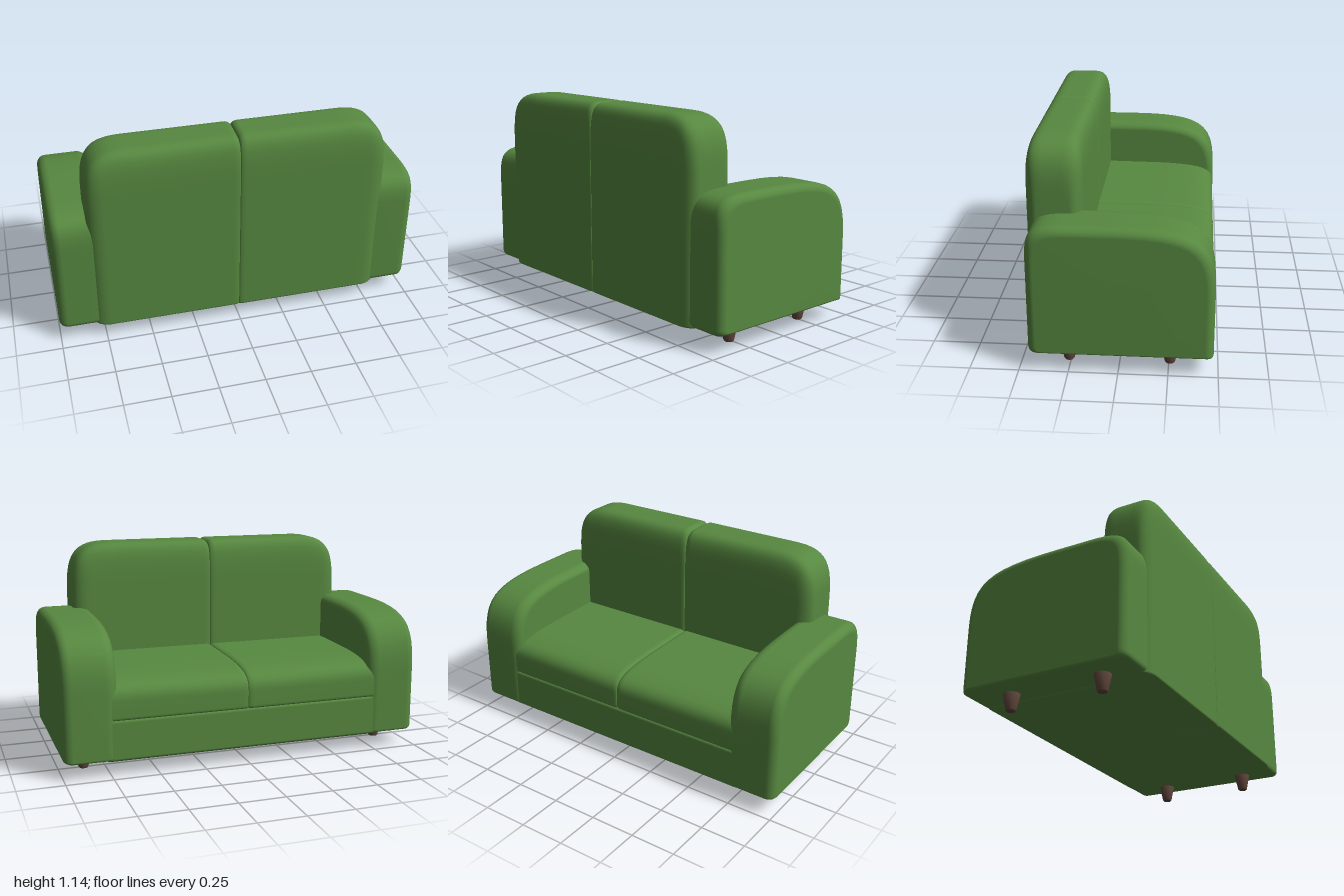
import * as THREE from 'three';
import { RoundedBoxGeometry } from 'three/addons/geometries/RoundedBoxGeometry.js';

const fabric = new THREE.MeshStandardMaterial({ color: 0x578840 });
const wood = new THREE.MeshStandardMaterial({ color: 0x5d443a });

// Side outline in (z, y), counter-clockwise; each step is a line (2), quadratic (4) or cubic (6)
function outline(start, ...steps) {
  const s = new THREE.Shape();
  s.moveTo(...start);
  for (const p of steps) {
    if (p.length === 2) s.lineTo(...p);
    else if (p.length === 4) s.quadraticCurveTo(...p);
    else s.bezierCurveTo(...p);
  }
  const pts = s.getPoints(12);
  if (pts[0].distanceTo(pts[pts.length - 1]) < 1e-5) pts.pop();
  return pts;
}

// Rounding depth at a distance d from an end, for a corner of width w and depth h
function round(d, w, h, n = 2) {
  const t = Math.min(1, Math.max(0, 1 - d / w));
  return h * (1 - Math.pow(1 - Math.pow(t, n), 1 / n));
}

// Sweeps the outline along x; inset(x) gives [z inset, bottom inset, top inset]
function loft(pts, xs, inset, sign) {
  const zs = pts.map(p => p.x), ys = pts.map(p => p.y);
  const z0 = Math.min(...zs), z1 = Math.max(...zs), y0 = Math.min(...ys), y1 = Math.max(...ys);
  const pos = [], idx = [], n = pts.length;
  const tri = (a, b, c) => (sign > 0 ? idx.push(a, b, c) : idx.push(a, c, b));
  for (const x of xs) {
    const [iz, ib, it] = inset(x);
    for (const p of pts) {
      const fz = (p.x - z0) / (z1 - z0), fy = (p.y - y0) / (y1 - y0);
      pos.push(sign * x, y0 + ib + fy * (y1 - y0 - ib - it), z0 + iz + fz * (z1 - z0 - 2 * iz));
    }
  }
  const last = (xs.length - 1) * n, c0 = xs.length * n, c1 = c0 + 1;
  for (const x of [xs[0], xs[xs.length - 1]]) {
    const [, ib, it] = inset(x);
    pos.push(sign * x, (y0 + ib + y1 - it) / 2, (z0 + z1) / 2);
  }
  for (let j = 0; j < n; j++) {
    const k = (j + 1) % n;
    for (let i = 0; i < last; i += n) {
      tri(i + j, i + n + j, i + k);
      tri(i + k, i + n + j, i + n + k);
    }
    tri(c0, j, k);
    tri(c1, last + k, last + j);
  }
  const g = new THREE.BufferGeometry();
  g.setAttribute('position', new THREE.Float32BufferAttribute(pos, 3));
  g.setIndex(idx);
  g.computeVertexNormals();
  return g;
}

// Stations from a to b, packed towards both ends over widths wa and wb
function stations(a, b, wa, wb, n = 10) {
  const xs = [];
  for (let i = 0; i <= n; i++) xs.push(a + wa * (1 - Math.cos(i / n * Math.PI / 2)));
  for (let i = n; i >= 0; i--) xs.push(b - wb * (1 - Math.cos(i / n * Math.PI / 2)));
  return xs;
}

export function createModel() {
  const sofa = new THREE.Group();
  sofa.name = 'sofa';
  const add = (name, geometry, material = fabric) => {
    const m = new THREE.Mesh(geometry, material);
    m.name = name;
    sofa.add(m);
    return m;
  };

  const armSide = outline([-0.46, 0.09], [0.42, 0.09], [0.455, 0.09, 0.455, 0.125], [0.455, 0.6],
    [0.455, 0.74, 0.43, 0.775, 0.28, 0.78], [0.05, 0.78],
    [-0.38, 0.78, -0.475, 0.72, -0.475, 0.45], [-0.475, 0.105], [-0.475, 0.09, -0.46, 0.09]);
  const backSide = outline([0.205, 0.085], [0.46, 0.085], [0.475, 0.085, 0.475, 0.1], [0.475, 0.92],
    [0.475, 1.1, 0.46, 1.14, 0.39, 1.14], [0.28, 1.14],
    [0.205, 1.14, 0.19, 1.1, 0.19, 0.92], [0.19, 0.1], [0.19, 0.085, 0.205, 0.085]);
  const seatSide = outline([-0.455, 0.3], [0.3, 0.3], [0.34, 0.3, 0.34, 0.34], [0.34, 0.48],
    [0.34, 0.525, 0.3, 0.525], [-0.15, 0.52],
    [-0.4, 0.51, -0.47, 0.49, -0.47, 0.4], [-0.47, 0.32], [-0.47, 0.3, -0.455, 0.3]);

  for (const [side, s] of [['left', 1], ['right', -1]]) {
    // Armrest, softly rounded on both faces
    add(side + 'Armrest', loft(armSide, stations(0.715, 1, 0.06, 0.05), x => {
      const r = round(x - 0.715, 0.06, 0.045) + round(1 - x, 0.05, 0.045);
      return [r, r * 0.4, r];
    }, s));

    // Back cushion, with a broad outer top corner and a tight middle seam
    add(side + 'BackCushion', loft(backSide, stations(0.001, 0.81, 0.035, 0.27, 16), x => {
      const seam = round(x, 0.035, 0.03), outer = round(0.81 - x, 0.09, 0.06);
      return [seam * 0.3 + outer, outer * 0.1, seam + round(0.81 - x, 0.25, 0.27, 3)];
    }, s));

    // Seat cushion
    add(side + 'SeatCushion', loft(seatSide, stations(0.001, 0.77, 0.03, 0.03), x => {
      const r = round(x, 0.03, 0.015) + round(0.77 - x, 0.03, 0.015);
      return [r * 0.5, 0, r];
    }, s));

    // Tapered feet
    for (const [end, z] of [['front', -0.256], ['back', 0.26]]) {
      const foot = [[0, 0], [0.022, 0], [0.027, 0.006], [0.046, 0.1], [0, 0.1]]
        .map(p => new THREE.Vector2(...p));
      add(end + side[0].toUpperCase() + side.slice(1) + 'Foot', new THREE.LatheGeometry(foot, 24), wood)
        .position.set(s * 0.865, 0, z);
    }
  }

  // Base under the seat
  add('base', new RoundedBoxGeometry(1.56, 0.225, 0.68, 3, 0.018)).position.set(0, 0.1945, -0.13);
  return sofa;
}
